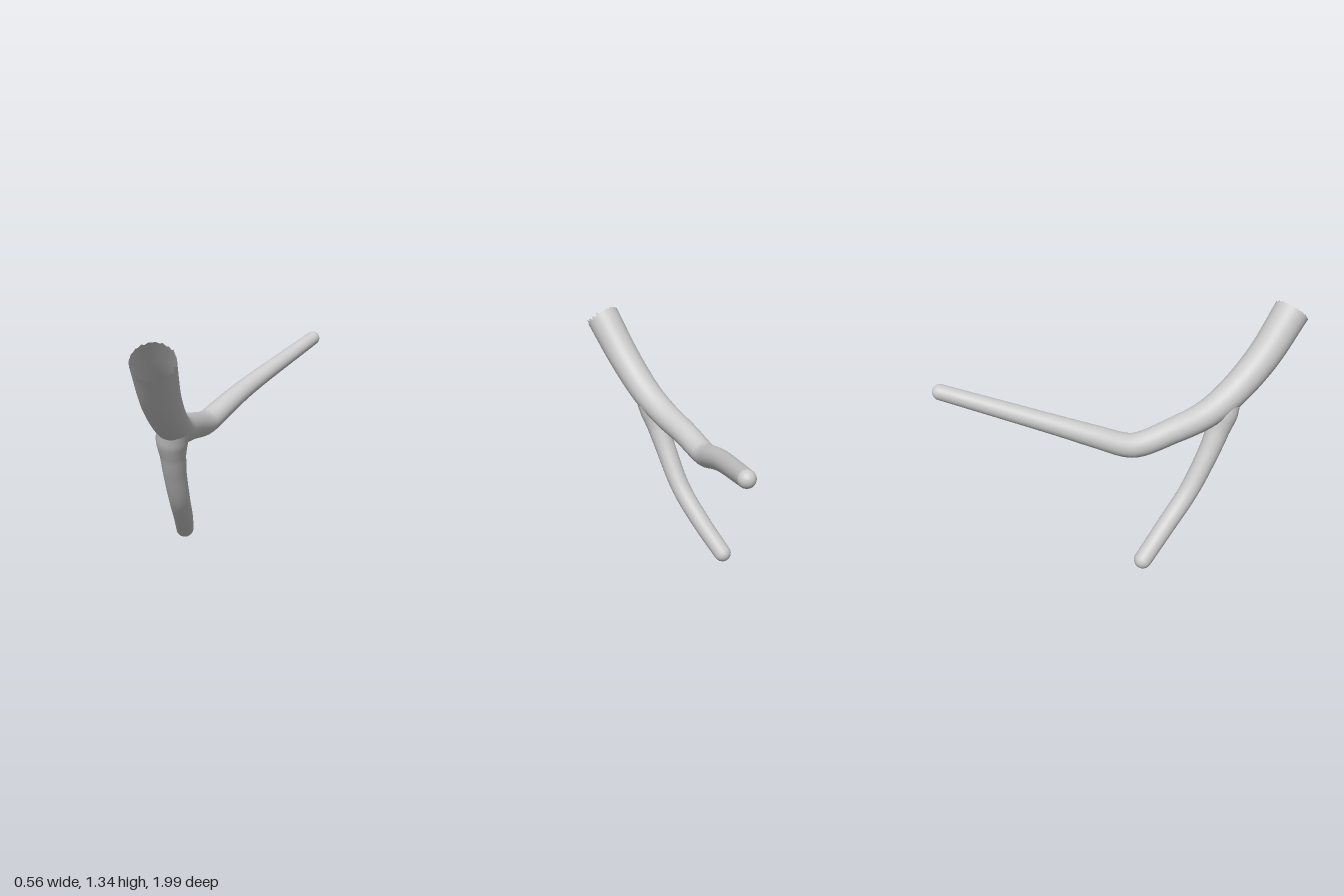
import * as THREE from 'three';

const material = new THREE.MeshStandardMaterial({ color: 0xcccccc, side: THREE.DoubleSide });
const SIDES = 40;

function seeded(seed) {
  return () => (seed = (seed * 16807) % 2147483647) / 2147483647;
}

// Sweeps a round section along stations [x, y, z, radius], with a domed far end.
// The near end stays open; with jagged set, its rim is torn into small teeth.
function limb(name, stations, steps, jagged) {
  const curve = new THREE.CatmullRomCurve3(stations.map(([x, y, z]) => new THREE.Vector3(x, y, z)));
  const { tangents, normals, binormals } = curve.computeFrenetFrames(steps);
  const random = seeded(77);
  const positions = [];
  const index = [];

  const ring = (centre, i, r, tear = false) => {
    for (let j = 0; j < SIDES; j++) {
      const a = (j / SIDES) * Math.PI * 2;
      const dir = normals[i].clone().multiplyScalar(Math.cos(a)).addScaledVector(binormals[i], Math.sin(a));
      const p = centre.clone().addScaledVector(dir, r);
      if (tear) {
        // teeth are deepest on the +x side
        const depth = 0.01 + 0.03 * Math.max(0, dir.x);
        p.addScaledVector(tangents[i], depth * ((j % 2) * 0.6 + random() * 0.6 - 0.4));
      }
      positions.push(p.x, p.y, p.z);
    }
  };

  let r = 0;
  for (let i = 0; i <= steps; i++) {
    const t = curve.getUtoTmapping(i / steps);
    const s = t * (stations.length - 1);
    const k = Math.min(Math.floor(s), stations.length - 2);
    r = THREE.MathUtils.lerp(stations[k][3], stations[k + 1][3], s - k);
    ring(curve.getPoint(t), i, r, jagged && i === 0);
  }

  // domed tip
  const end = curve.getPoint(1);
  for (let k = 1; k <= 8; k++) {
    const phi = (k / 8) * Math.PI / 2;
    ring(end.clone().addScaledVector(tangents[steps], r * Math.sin(phi)), steps, r * Math.cos(phi));
  }

  const rings = positions.length / 3 / SIDES;
  for (let i = 0; i < rings - 1; i++) {
    for (let j = 0; j < SIDES; j++) {
      const a = i * SIDES + j;
      const b = i * SIDES + (j + 1) % SIDES;
      index.push(a, b, a + SIDES, b, b + SIDES, a + SIDES);
    }
  }
  const geometry = new THREE.BufferGeometry();
  geometry.setAttribute('position', new THREE.Float32BufferAttribute(positions, 3));
  geometry.setIndex(index);
  geometry.computeVertexNormals();
  const mesh = new THREE.Mesh(geometry, material);
  mesh.name = name;
  return mesh;
}

export function createModel() {
  const group = new THREE.Group();
  group.name = 'forkedTube';

  // Main tube: torn open end, gentle bend, sharp elbow, thin straight arm
  group.add(limb('mainTube', [
    [0.185, 1.28, 0.915, 0.097],
    [0.105, 1.055, 0.74, 0.09],
    [0.035, 0.89, 0.555, 0.083],
    [-0.02, 0.805, 0.4, 0.076],
    [-0.07, 0.75, 0.2, 0.069],
    [-0.097, 0.708, 0.03, 0.066],
    [-0.098, 0.71, -0.035, 0.064],
    [-0.072, 0.765, -0.2, 0.059],
    [-0.035, 0.825, -0.38, 0.053],
    [0.11, 1.0, -0.957, 0.041],
  ], 110, true));

  // Side branch, flared where it leaves the main tube
  group.add(limb('sideBranch', [
    [0.025, 0.85, 0.525, 0.078],
    [0.008, 0.785, 0.508, 0.078],
    [-0.008, 0.7, 0.478, 0.064],
    [-0.033, 0.58, 0.425, 0.058],
    [-0.08, 0.375, 0.31, 0.054],
    [-0.15, 0.205, 0.165, 0.052],
    [-0.228, 0.055, 0.025, 0.049],
  ], 60, false));

  return group;
}
